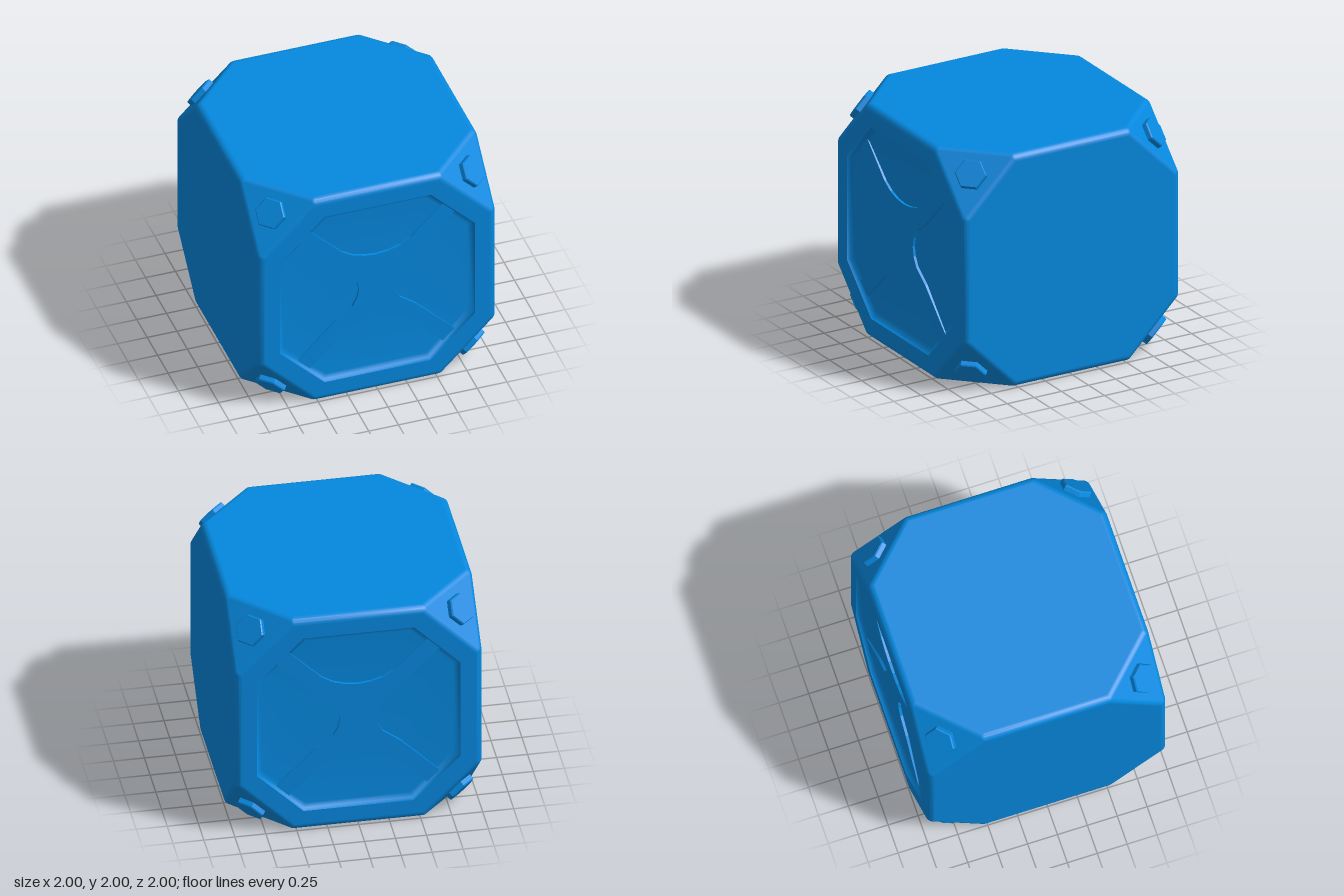
import * as THREE from 'three';
import { ConvexGeometry } from 'three/addons/geometries/ConvexGeometry.js';
import { mergeGeometries, mergeVertices } from 'three/addons/utils/BufferGeometryUtils.js';

const R = 0.06;              // edge rounding
const FLAT = 1 - R;          // half size of the flat part of a face
const CUT = 0.5 + 0.268 * R; // where the corner facets start on a face
const SIGNS = [1, -1];

const V2 = (x, y) => new THREE.Vector2(x, y);

// Octagon with half size a and corner offset b, counter-clockwise
const octagon = (a, b) => [
  V2(a, -b), V2(a, b), V2(b, a), V2(-b, a), V2(-a, b), V2(-a, -b), V2(-b, -a), V2(b, -a)];

// Rounded cube with cut corners, left open on its front and back planes
function shellGeometry() {
  const points = [], centres = [];
  const N = 5;
  for (const sx of SIGNS) for (const sy of SIGNS) for (const sz of SIGNS) {
    const sign = new THREE.Vector3(sx, sy, sz);
    for (let axis = 0; axis < 3; axis++) {
      const centre = new THREE.Vector3(FLAT, FLAT, FLAT).setComponent(axis, CUT).multiply(sign);
      centres.push(centre);
      const n = [1, 2].map(k => new THREE.Vector3().setComponent((axis + k) % 3, 1).multiply(sign));
      const corner = sign.clone().normalize();
      for (let i = 0; i <= N; i++) for (let j = 0; j <= N - i; j++) {
        const normal = new THREE.Vector3().addScaledVector(n[0], i / N)
          .addScaledVector(n[1], j / N).addScaledVector(corner, (N - i - j) / N).normalize();
        points.push(normal.multiplyScalar(R).add(centre));
      }
    }
  }
  const hull = new ConvexGeometry(points).getAttribute('position');
  const pos = [], nor = [], p = new THREE.Vector3();
  for (let t = 0; t < hull.count; t += 3) {
    if ([0, 1, 2].every(k => Math.abs(hull.getZ(t + k)) > 1 - 1e-5)) continue;
    for (let k = 0; k < 3; k++) {
      p.fromBufferAttribute(hull, t + k);
      pos.push(p.x, p.y, p.z);
      const c = centres.reduce((a, b) => (p.distanceToSquared(b) < p.distanceToSquared(a) ? b : a));
      p.sub(c).normalize();
      nor.push(p.x, p.y, p.z);
    }
  }
  const g = new THREE.BufferGeometry();
  g.setAttribute('position', new THREE.Float32BufferAttribute(pos, 3));
  g.setAttribute('normal', new THREE.Float32BufferAttribute(nor, 3));
  return g;
}

// Shell closed by an octagonal rim on the front and the back
function bodyGeometry() {
  const shape = new THREE.Shape(octagon(FLAT, CUT));
  shape.holes.push(new THREE.Path(octagon(0.82, 0.445).reverse()));
  const rim = new THREE.ShapeGeometry(shape).toNonIndexed();
  rim.deleteAttribute('uv');
  rim.translate(0, 0, 1);
  return mergeVertices(mergeGeometries([shellGeometry(), rim, rim.clone().rotateY(Math.PI)]));
}

// Loft through octagons given as [half size, corner offset, z], facing +z
function octagonLoft(rings) {
  const pos = [], index = [];
  rings.forEach(([a, b, z]) => octagon(a, b).forEach(v => pos.push(v.x, v.y, z)));
  for (let r = 0; r < rings.length - 1; r++) for (let i = 0; i < 8; i++) {
    const a = r * 8 + i, b = r * 8 + (i + 1) % 8;
    index.push(a, b, b + 8, a, b + 8, a + 8);
  }
  const g = new THREE.BufferGeometry();
  g.setAttribute('position', new THREE.Float32BufferAttribute(pos, 3));
  g.setIndex(index);
  g.computeVertexNormals();
  return g;
}

// Cross brace outline, mirrored from one quarter
function braceShape() {
  const q = [[0.145, 0], [0.16, 0.08], [0.2, 0.155], [0.34, 0.26], [0.67, 0.59],
    [0.57, 0.69], [0.29, 0.41], [0.2, 0.355], [0.1, 0.325], [0, 0.315]];
  const half = [...q, ...q.slice(0, -1).reverse().map(([x, y]) => [-x, y])];
  const all = [...half, ...half.slice(1, -1).reverse().map(([x, y]) => [x, -y])];
  return new THREE.Shape(all.map(([x, y]) => V2(x, y)));
}

export function createModel() {
  const model = new THREE.Group();
  model.name = 'crate';
  const material = new THREE.MeshStandardMaterial({ color: 0x0488de });
  const add = (parent, name, geometry) => {
    const mesh = new THREE.Mesh(geometry, material);
    mesh.name = name;
    parent.add(mesh);
    return mesh;
  };

  const cube = new THREE.Group();
  cube.name = 'cube';
  cube.position.y = 1;
  model.add(cube);
  add(cube, 'body', bodyGeometry());

  // Softly dished recess with a cross brace, front and back
  const recess = octagonLoft([[0.82, 0.445, 1], [0.81, 0.44, 0.97], [0.77, 0.42, 0.956],
    [0.4, 0.21, 0.945], [0.001, 0.0005, 0.945]]);
  const brace = new THREE.ExtrudeGeometry(braceShape(), { depth: 0.04, bevelEnabled: false });
  brace.translate(0, 0, 0.927);
  ['front', 'back'].forEach((side, i) => {
    const panel = new THREE.Group();
    panel.name = side + 'Panel';
    panel.rotation.y = i * Math.PI;
    cube.add(panel);
    add(panel, 'recess', recess);
    add(panel, 'crossBrace', brace);
  });

  // Hexagonal bolts on the eight corner facets
  const profile = [V2(0.13, 0), V2(0.13, 0.042), V2(0.122, 0.052), V2(0, 0.052)];
  const bolt = new THREE.LatheGeometry(profile, 6).toNonIndexed();
  bolt.computeVertexNormals();
  const up = new THREE.Vector3(0, 1, 0);
  for (const x of SIGNS) for (const y of SIGNS) for (const z of SIGNS) {
    const n = new THREE.Vector3(x, y, z).normalize();
    const side = new THREE.Vector3().crossVectors(up, n).normalize();
    const mesh = add(cube, 'cornerBolt', bolt);
    mesh.quaternion.setFromRotationMatrix(
      new THREE.Matrix4().makeBasis(side, n, new THREE.Vector3().crossVectors(side, n)));
    mesh.position.copy(n).multiplyScalar(2.5 / Math.sqrt(3) - 0.005);
    // Turn so that two flats lie level
    mesh.rotateY(Math.PI / 6);
  }
  return model;
}
